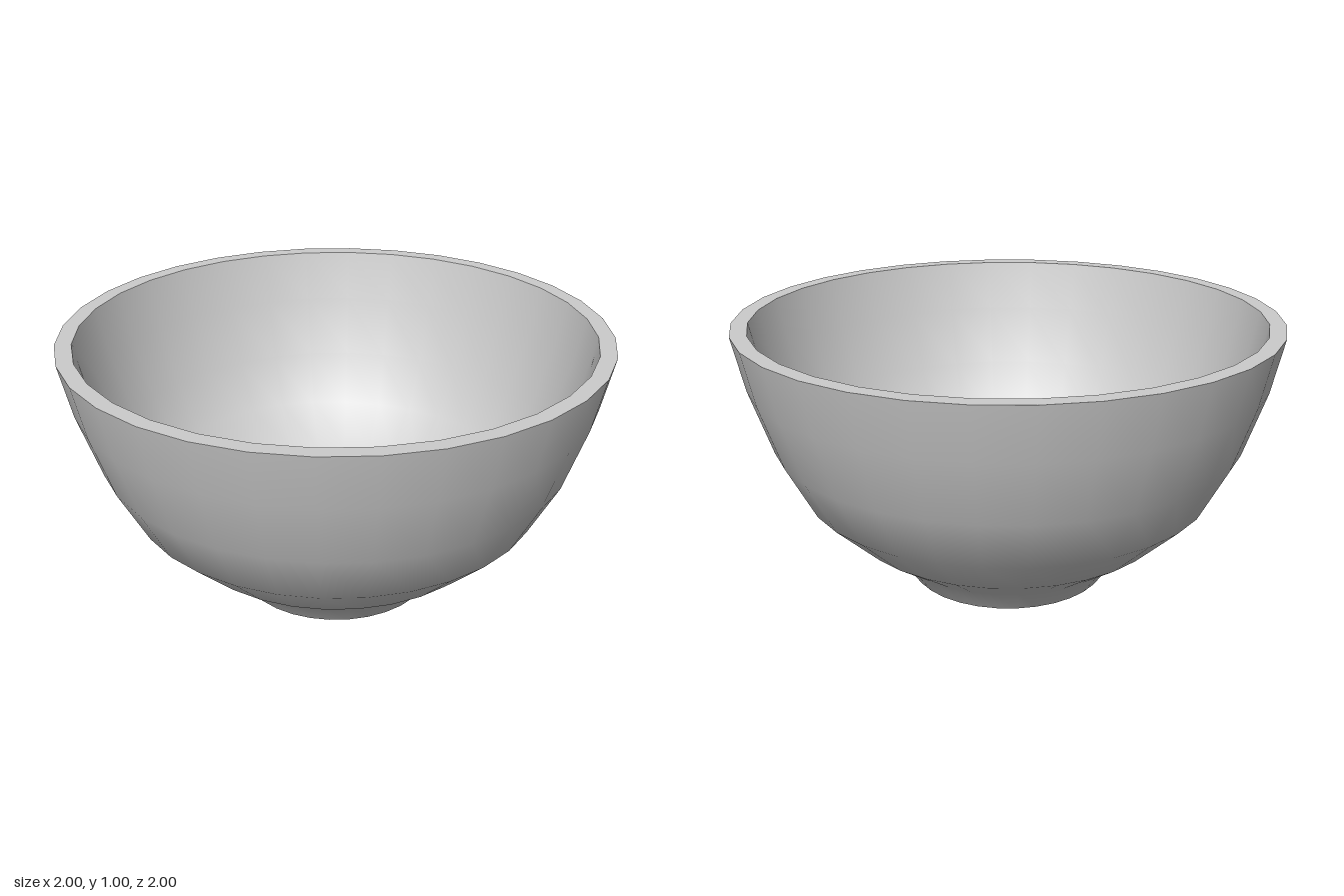
import * as THREE from 'three';

const SIDES = 32;

// Profiles as [radius, height], traced base -> outside -> rim -> inside -> floor
const BASE = [[0, 0], [0.37, 0]];
const OUTER = [[0.37, 0], [0.435, 0.09], [0.595, 0.198], [0.765, 0.357], [0.873, 0.56], [0.955, 0.8], [1, 1]];
const RIM = [[1, 1], [0.94, 1]];
const INNER = [[0.94, 1], [0.896, 0.81], [0.818, 0.585], [0.715, 0.395], [0.555, 0.245], [0.37, 0.155], [0.145, 0.1]];
const FLOOR = [[0.145, 0.1], [0, 0.1]];

export function createModel() {
  const bowl = new THREE.Group();
  bowl.name = 'bowl';
  const material = new THREE.MeshStandardMaterial({ color: 0xcccccc });

  // Each part is its own lathe: smooth within, crisp where parts meet
  const addTurned = (name, profile) => {
    const points = profile.map(([r, y]) => new THREE.Vector2(r, y));
    const mesh = new THREE.Mesh(new THREE.LatheGeometry(points, SIDES), material);
    mesh.name = name;
    bowl.add(mesh);
  };

  addTurned('footUnderside', BASE);
  addTurned('outerWall', OUTER);
  addTurned('rim', RIM);
  addTurned('innerWall', INNER);
  addTurned('innerFloor', FLOOR);
  return bowl;
}
